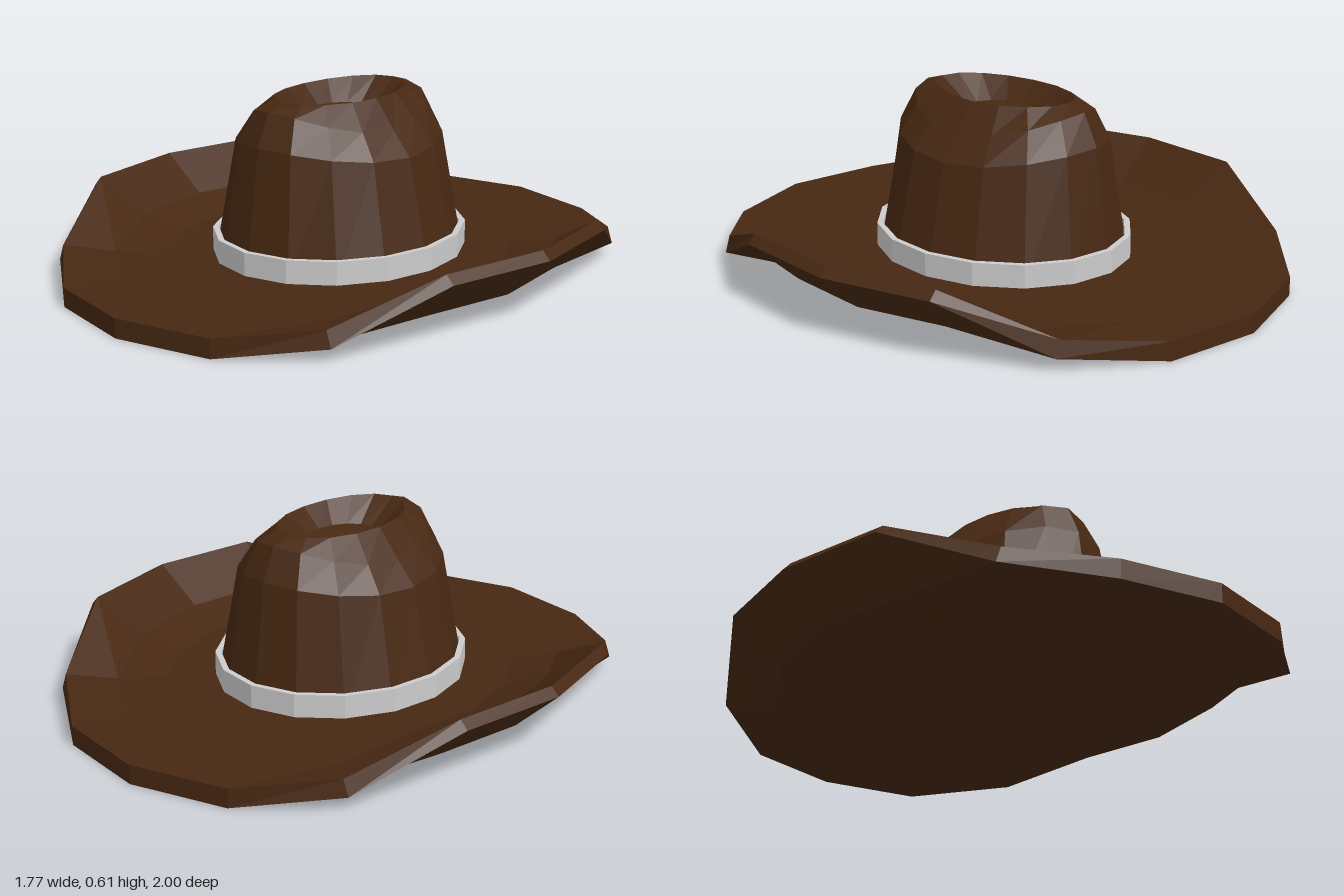
import * as THREE from 'three';

const SIDES = 16;

// Skin a stack of closed rings; ring(s, c, k) gives a point, k = 0 at front/back to 4 at the sides
function loft(name, rings, material) {
  const pos = [], index = [];
  rings.forEach((ring, r) => {
    for (let i = 0; i < SIDES; i++) {
      const a = (i / SIDES) * Math.PI * 2;
      const k = 4 - Math.abs(4 - (i % 8));
      pos.push(...ring(Math.sin(a), Math.cos(a), k));
      if (r === rings.length - 1) continue;
      const j = (i + 1) % SIDES;
      const p = r * SIDES + i, q = r * SIDES + j;
      index.push(p, q, q + SIDES, p, q + SIDES, p + SIDES);
    }
  });
  const geometry = new THREE.BufferGeometry();
  geometry.setAttribute('position', new THREE.Float32BufferAttribute(pos, 3));
  geometry.setIndex(index);
  geometry.computeVertexNormals();
  const mesh = new THREE.Mesh(geometry, material);
  mesh.name = name;
  return mesh;
}

// Elliptical ring whose height blends from the ends (z) to the sides (x)
const oval = (rx, rz, ySide, yEnd = ySide) => (s, c) =>
  [rx * s, yEnd + (ySide - yEnd) * s * s, rz * c];

// Brim ring: fraction of the full oval, height per station, inward shift of the sides
const brimRing = (f, heights, inset = [0, 0, 0, 0, 0]) => (s, c, k) =>
  [0.885 * f * s - Math.sign(s) * inset[k], heights[k], f * c];

const level = (y) => Array(5).fill(y);

export function createModel() {
  const felt = new THREE.MeshStandardMaterial({ color: 0x472812, flatShading: true });
  const grey = new THREE.MeshStandardMaterial({ color: 0xcccccc, flatShading: true });
  const hat = new THREE.Group();
  hat.name = 'hat';

  // Solid brim, rolled up at both sides
  hat.add(loft('brim', [
    brimRing(0, level(0)),
    brimRing(0.64, level(0)),
    brimRing(0.82, [0, 0, 0.005, 0.06, 0.06]),
    brimRing(1, [0, 0, 0.045, 0.205, 0.205]),
    brimRing(1, [0.065, 0.065, 0.1, 0.235, 0.235], [0, 0, 0.02, 0.027, 0.027]),
    brimRing(0.81, [0.065, 0.065, 0.07, 0.115, 0.115], [0, 0, 0.01, 0.02, 0.02]),
    brimRing(0.63, level(0.065)),
    brimRing(0, level(0.065)),
  ], felt));

  // Tapered crown with a pinched top and a dent
  hat.add(loft('crown', [
    oval(0.395, 0.44, 0.06),
    oval(0.31, 0.385, 0.43, 0.48),
    oval(0.24, 0.335, 0.51, 0.59),
    oval(0.165, 0.27, 0.605, 0.61),
    oval(0.1, 0.16, 0.54, 0.53),
    oval(0, 0, 0.525),
  ], felt));

  // Band around the foot of the crown
  hat.add(loft('band', [
    oval(0.38, 0.43, 0.066),
    oval(0.405, 0.452, 0.066),
    oval(0.405, 0.452, 0.145),
    oval(0.385, 0.432, 0.145),
    oval(0.38, 0.43, 0.066),
  ], grey));

  return hat;
}
